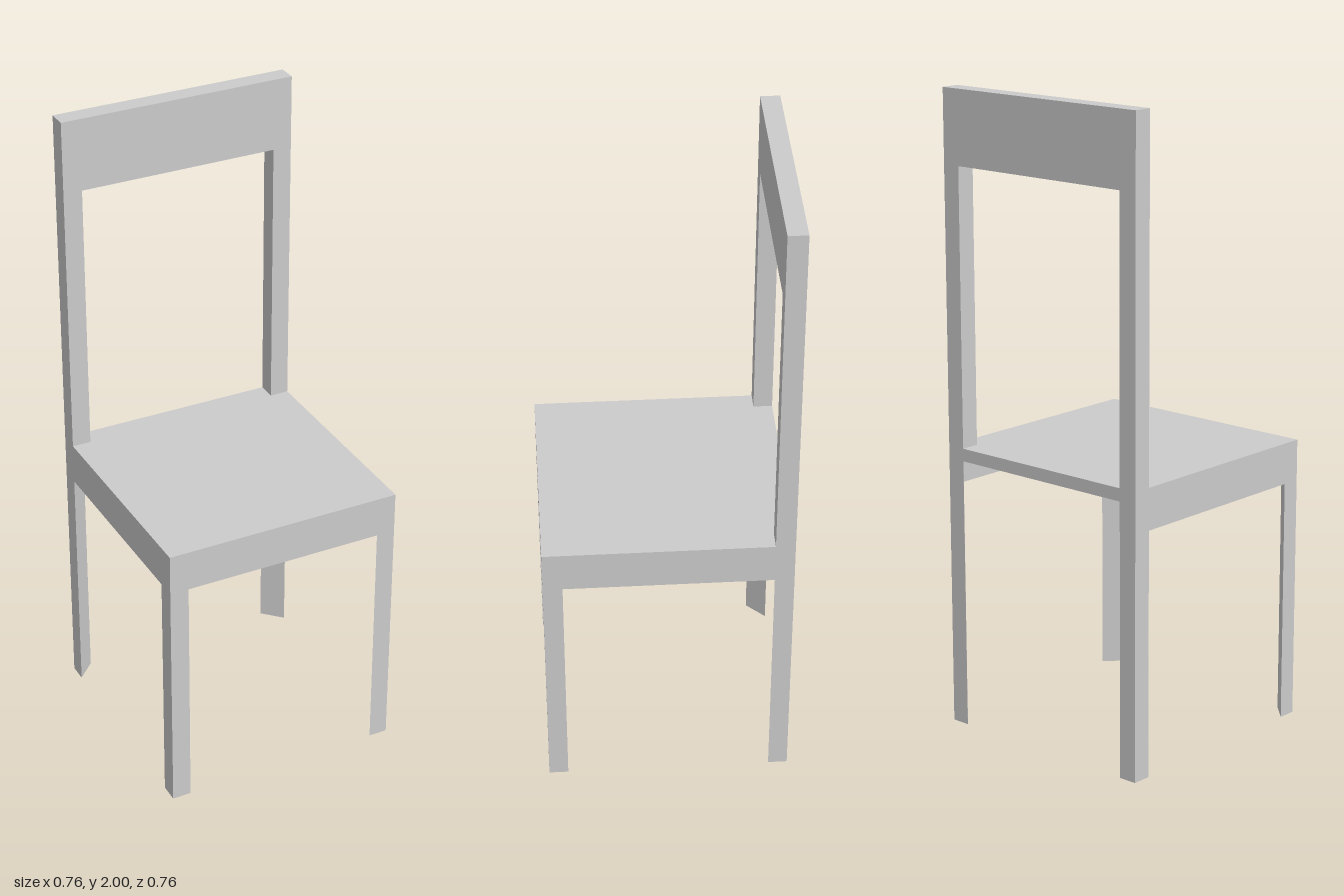
import * as THREE from 'three';

const HALF = 0.38;      // half the width and depth
const POST = 0.06;      // leg and post size
const SEAT = 0.9;       // seat top
const APRON = 0.77;     // lower edge of the aprons
const RAIL = 1.77;      // lower edge of the top rail

export function createModel() {
  const group = new THREE.Group();
  const solid = new THREE.MeshStandardMaterial({ color: 0xcccccc, flatShading: true });
  const sheet = new THREE.MeshStandardMaterial({
    color: 0xcccccc, flatShading: true, side: THREE.DoubleSide,
  });

  const add = (name, geometry, material, x, y, z) => {
    const mesh = new THREE.Mesh(geometry, material);
    mesh.name = name;
    mesh.position.set(x, y, z);
    group.add(mesh);
    return mesh;
  };

  // Triangular leg with its right angle at the outer corner
  const leg = (name, sx, sz, height) => {
    const shape = new THREE.Shape([
      new THREE.Vector2(sx * HALF, -sz * HALF),
      new THREE.Vector2(sx * (HALF - POST), -sz * HALF),
      new THREE.Vector2(sx * HALF, -sz * (HALF - POST)),
    ]);
    const geometry = new THREE.ExtrudeGeometry(shape, { depth: height, bevelEnabled: false });
    geometry.rotateX(-Math.PI / 2);
    add(name, geometry, solid, 0, 0, 0);
  };

  // Hollow seat: thin top, front apron and narrow back lip
  const width = 2 * HALF, apronHeight = SEAT - APRON, lip = 0.04;
  add('seat', new THREE.PlaneGeometry(width, width).rotateX(-Math.PI / 2), sheet, 0, SEAT, 0);
  add('frontApron', new THREE.PlaneGeometry(width, apronHeight), sheet, 0, (SEAT + APRON) / 2, HALF);
  add('backLip', new THREE.PlaneGeometry(width - 2 * POST, lip).rotateY(Math.PI), sheet,
    0, SEAT - lip / 2, -HALF);

  // Mirrored legs, side aprons and back posts
  const backZ = -HALF + POST / 2;
  for (const [side, s] of [['left', 1], ['right', -1]]) {
    leg(side + 'FrontLeg', s, 1, APRON);
    leg(side + 'BackLeg', s, -1, SEAT);
    add(side + 'Apron', new THREE.PlaneGeometry(width, apronHeight).rotateY(s * Math.PI / 2), sheet,
      s * HALF, (SEAT + APRON) / 2, 0);
    add(side + 'BackPost', new THREE.BoxGeometry(POST, RAIL - SEAT, POST), solid,
      s * (HALF - POST / 2), (SEAT + RAIL) / 2, backZ);
  }

  // Wide rail across the top of the back
  add('topRail', new THREE.BoxGeometry(width, 2 - RAIL, POST), solid, 0, (2 + RAIL) / 2, backZ);

  return group;
}
